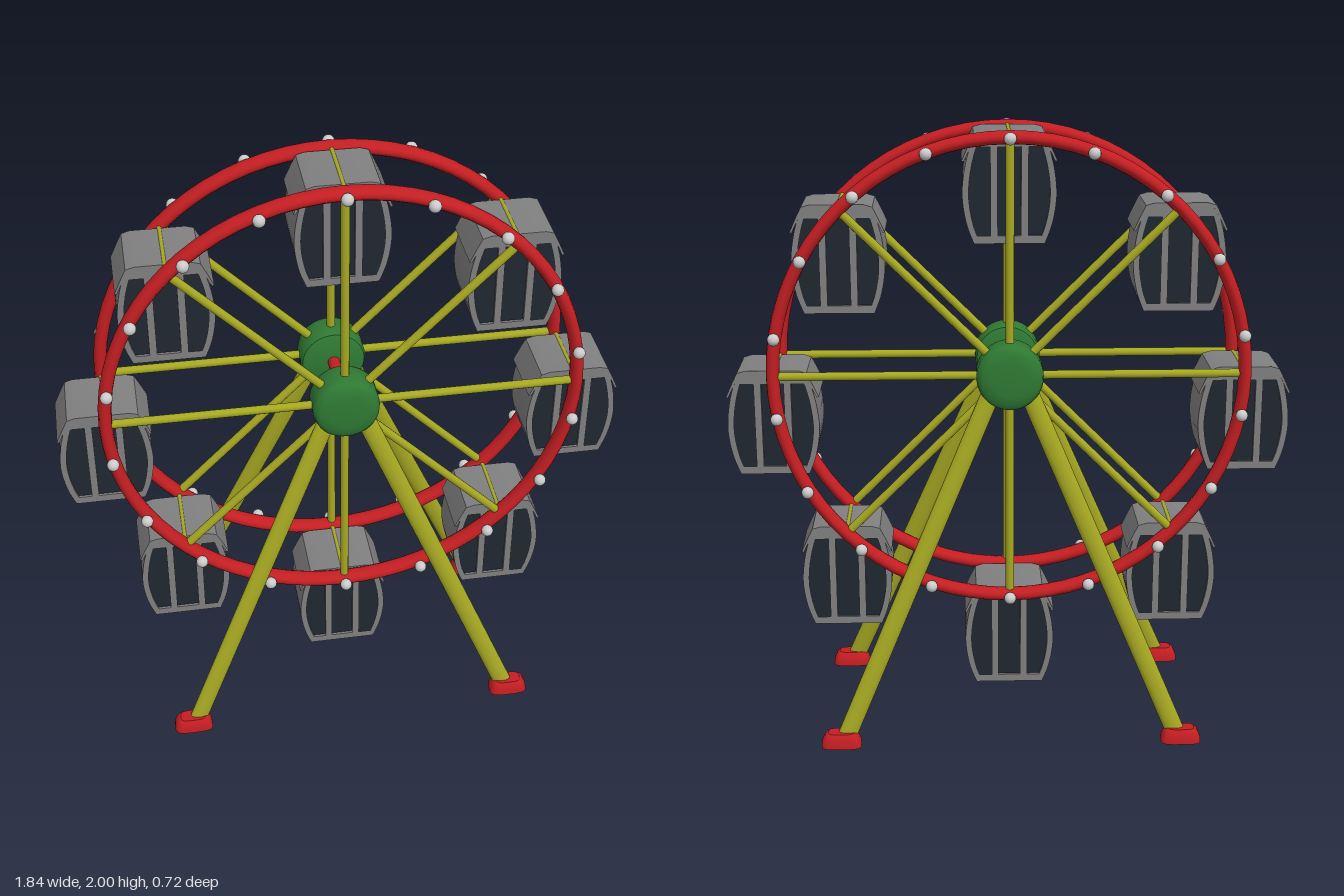
import * as THREE from 'three';
import { toCreasedNormals } from 'three/addons/utils/BufferGeometryUtils.js';

const AXLE_Y = 1.2175, RIM_R = 0.76, RIM_Z = 0.14;

const paint = (color) => new THREE.MeshStandardMaterial({ color });
const red = paint(0xc41e22), yellow = paint(0xa6a822), green = paint(0x2f7a34);
const grey = paint(0x808080), dark = paint(0x1f2730), bolt = paint(0xcccccc);

function add(parent, name, geometry, material, x = 0, y = 0, z = 0) {
  const mesh = new THREE.Mesh(geometry, material);
  mesh.name = name;
  mesh.position.set(x, y, z);
  parent.add(mesh);
  return mesh;
}

// Bar between two points; thin is its half size toward z, wide its half size across
function bar(parent, name, a, b, wide, thin, material) {
  const dir = b.clone().sub(a);
  const geo = new THREE.CylinderGeometry(1, 1, dir.length(), 12);
  geo.scale(wide, 1, thin);
  const mid = a.clone().add(b).multiplyScalar(0.5);
  const mesh = add(parent, name, geo, material, mid.x, mid.y, mid.z);
  const yAxis = dir.normalize();
  const xAxis = new THREE.Vector3().crossVectors(yAxis, new THREE.Vector3(0, 0, 1)).normalize();
  const zAxis = new THREE.Vector3().crossVectors(xAxis, yAxis);
  mesh.quaternion.setFromRotationMatrix(new THREE.Matrix4().makeBasis(xAxis, yAxis, zAxis));
  return mesh;
}

// Half width of the barrel-shaped cabin at a height below its pivot
const SIDE = new THREE.SplineCurve([
  [0.112, 0], [0.136, -0.08], [0.148, -0.16], [0.146, -0.22], [0.133, -0.285], [0.112, -0.34],
].map(([x, y]) => new THREE.Vector2(x, y)));
const sidePoints = SIDE.getPoints(20);
function halfWidth(y) {
  const i = Math.max(1, sidePoints.findIndex((p) => p.y <= y));
  const a = sidePoints[i - 1], b = sidePoints[i];
  return a.x + (b.x - a.x) * (y - a.y) / (b.y - a.y);
}

function extrude(shape, depth) {
  const geo = new THREE.ExtrudeGeometry(shape, { depth, bevelEnabled: false, curveSegments: 8 });
  geo.translate(0, 0, -depth / 2);
  return toCreasedNormals(geo, 0.5);
}

function cabinParts() {
  const mirror = (p) => new THREE.Vector2(-p.x, p.y);
  const outline = [...sidePoints, ...sidePoints.map(mirror).reverse()];

  // Frame with a middle window and two windows that follow the curved sides
  const frame = new THREE.Shape(outline);
  const top = -0.035, bottom = -0.315, steps = 10;
  frame.holes.push(new THREE.Path([[-0.037, bottom], [0.037, bottom], [0.037, top], [-0.037, top]]
    .map(([x, y]) => new THREE.Vector2(x, y))));
  const pane = [new THREE.Vector2(0.06, bottom), new THREE.Vector2(0.06, top)];
  for (let i = 0; i <= steps; i++) {
    const y = top + (bottom - top) * i / steps;
    pane.push(new THREE.Vector2(halfWidth(y) - 0.02, y));
  }
  frame.holes.push(new THREE.Path(pane), new THREE.Path(pane.map(mirror)));

  // Dark glass block set slightly behind the frame
  const glass = new THREE.Shape(outline.map((p) => new THREE.Vector2(p.x * 0.94, -0.17 + (p.y + 0.17) * 0.95)));

  // Thin roof with flared eaves
  const upper = [[-0.15, -0.078], [-0.128, -0.03], [-0.112, 0.002], [-0.085, 0.01],
    [0.085, 0.01], [0.112, 0.002], [0.128, -0.03], [0.15, -0.078]];
  const lower = [[0.143, -0.08], [0.12, -0.032], [0.104, -0.008], [0.083, -0.002],
    [-0.083, -0.002], [-0.104, -0.008], [-0.12, -0.032], [-0.143, -0.08]];
  const roof = new THREE.Shape([...upper, ...lower].map(([x, y]) => new THREE.Vector2(x, y)));

  return { frame: extrude(frame, 0.204), glass: extrude(glass, 0.186), roof: extrude(roof, 0.21) };
}

function footGeometry() {
  const profile = [[0, 0], [1, 0], [0.97, 0.018], [0.82, 0.04], [0.65, 0.048], [0, 0.048]]
    .map(([x, y]) => new THREE.Vector2(x, y));
  const geo = new THREE.LatheGeometry(profile, 32);
  const pos = geo.attributes.position;
  // Square the round plan off into a rounded rectangle
  for (let i = 0; i < pos.count; i++) {
    const x = pos.getX(i), z = pos.getZ(i), r = Math.hypot(x, z);
    const k = r > 0 ? r / Math.pow(x ** 4 + z ** 4, 0.25) : 1;
    pos.setXYZ(i, x * k * 0.066, pos.getY(i), z * k * 0.038);
  }
  return toCreasedNormals(geo, 0.6);
}

export function createModel() {
  const model = new THREE.Group();
  model.name = 'ferrisWheel';

  const wheel = new THREE.Group();
  wheel.name = 'wheel';
  wheel.position.y = AXLE_Y;
  model.add(wheel);

  const rimGeo = new THREE.TorusGeometry(RIM_R, 0.0215, 12, 72);
  rimGeo.scale(1, 1, 1.38);
  const boltGeo = new THREE.SphereGeometry(0.02, 14, 10);
  const hubGeo = toCreasedNormals(new THREE.LatheGeometry([
    [0, 0.08], [0.088, 0.08], [0.102, 0.086], [0.108, 0.1], [0.108, 0.17], [0.104, 0.187],
    [0.09, 0.198], [0.06, 0.202], [0, 0.204],
  ].map(([x, y]) => new THREE.Vector2(x, y)), 40).rotateX(Math.PI / 2), 0.7);
  const footGeo = footGeometry();

  for (const s of [1, -1]) {
    // Rim, hub and bolts of each wheel face
    add(wheel, 'rim', rimGeo, red, 0, 0, s * RIM_Z);
    add(wheel, 'hub', hubGeo, green).rotation.y = s > 0 ? 0 : Math.PI;
    for (let i = 0; i < 18; i++) {
      const a = i * Math.PI / 9;
      add(wheel, 'rimBolt', boltGeo, bolt, Math.sin(a) * RIM_R, Math.cos(a) * RIM_R, s * 0.18);
    }
    // Spokes
    for (let i = 0; i < 8; i++) {
      const a = i * Math.PI / 4;
      bar(wheel, 'spoke', new THREE.Vector3(0, 0, s * RIM_Z),
        new THREE.Vector3(Math.cos(a) * RIM_R, Math.sin(a) * RIM_R, s * RIM_Z), 0.014, 0.014, yellow);
    }
    // Splayed support legs with feet
    for (const side of [1, -1]) {
      bar(model, 'leg', new THREE.Vector3(side * 0.045, 1.2, s * 0.153),
        new THREE.Vector3(side * 0.55, 0.02, s * 0.32), 0.031, 0.017, yellow);
      add(model, 'foot', footGeo, red, side * 0.563, 0, s * 0.32);
    }
  }

  // Axle between the hubs
  add(wheel, 'axle', new THREE.CylinderGeometry(0.02, 0.02, 0.2, 20).rotateX(Math.PI / 2), red);

  // Cabins hang upright from crossbars joining the two rims
  const parts = cabinParts();
  const crossbarGeo = new THREE.CylinderGeometry(0.008, 0.008, 2 * RIM_Z, 10).rotateX(Math.PI / 2);
  for (let i = 0; i < 8; i++) {
    const a = i * Math.PI / 4;
    const x = Math.cos(a) * RIM_R, y = Math.sin(a) * RIM_R;
    add(wheel, 'crossbar', crossbarGeo, yellow, x, y + 0.005, 0);
    const cabin = new THREE.Group();
    cabin.name = 'cabin';
    cabin.position.set(x * 1.01, y, 0);
    wheel.add(cabin);
    add(cabin, 'cabinFrame', parts.frame, grey);
    add(cabin, 'cabinWindows', parts.glass, dark);
    add(cabin, 'cabinRoof', parts.roof, grey);
  }
  return model;
}
